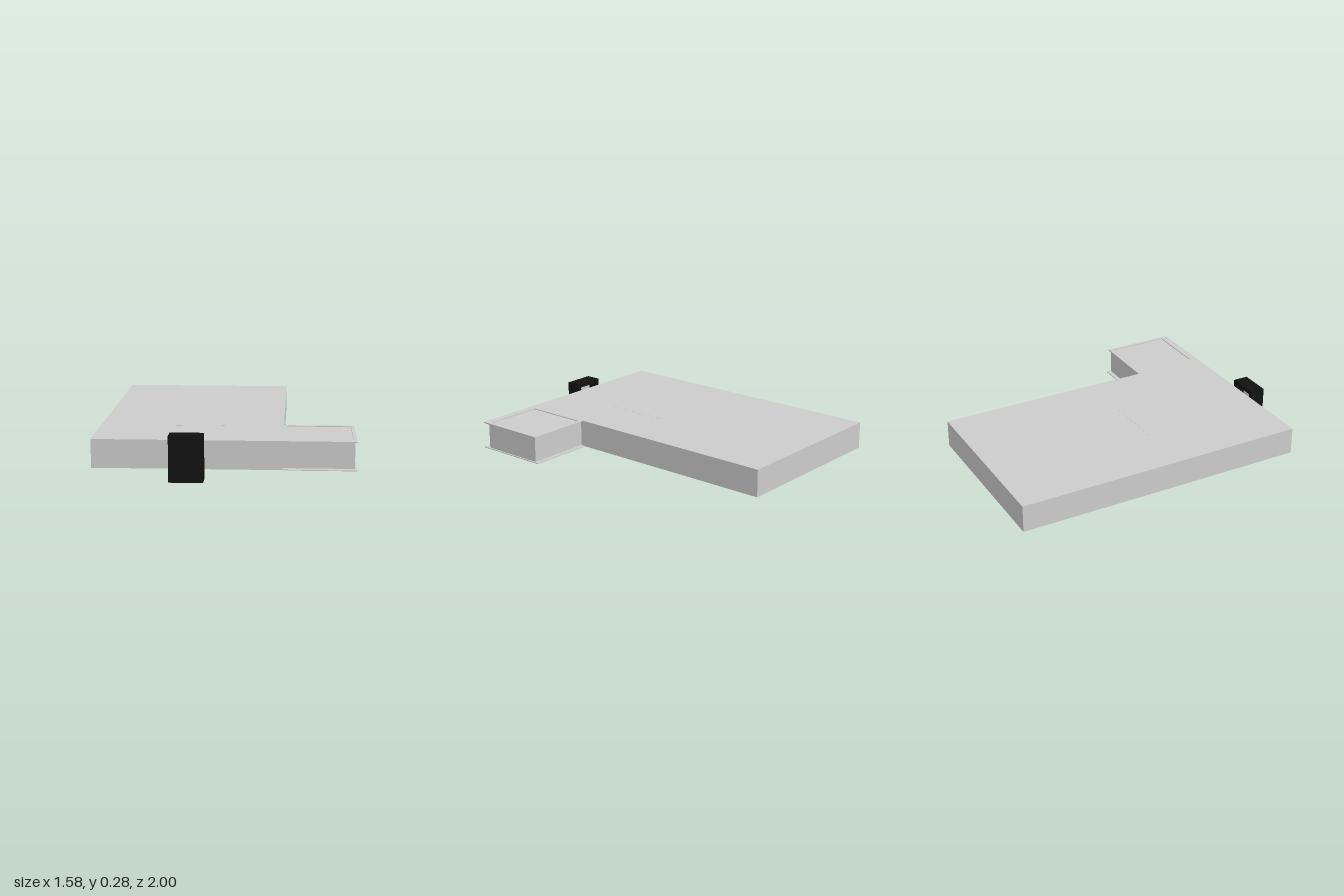
import * as THREE from 'three';

const grey = new THREE.MeshStandardMaterial({ color: 0xcccccc, flatShading: true });
const black = new THREE.MeshStandardMaterial({ color: 0x111111, flatShading: true });

export function createModel() {
  const model = new THREE.Group();

  const add = (name, geometry, material, parent = model) => {
    const mesh = new THREE.Mesh(geometry, material);
    mesh.name = name;
    parent.add(mesh);
    return mesh;
  };

  // Box given by its extents along each axis
  const block = (name, [x0, x1], [y0, y1], [z0, z1], material = grey, parent = model) => {
    const geometry = new THREE.BoxGeometry(x1 - x0, y1 - y0, z1 - z0);
    geometry.translate((x0 + x1) / 2, (y0 + y1) / 2, (z0 + z1) / 2);
    return add(name, geometry, material, parent);
  };

  // Rectangle with a rectangular hole, extruded along z
  const frame = ([x0, x1], [y0, y1], [hx0, hx1], [hy0, hy1], depth) => {
    const rect = (path, a, b, c, d) =>
      path.moveTo(a, c).lineTo(b, c).lineTo(b, d).lineTo(a, d).closePath();
    const shape = rect(new THREE.Shape(), x0, x1, y0, y1);
    shape.holes.push(rect(new THREE.Path(), hx0, hx1, hy0, hy1));
    return new THREE.ExtrudeGeometry(shape, { depth, bevelEnabled: false });
  };

  // Main slab with a square core just showing through it
  block('mainSlab', [-0.79, 0.35], [0.06, 0.235], [-1, 0.9]);
  block('squareCore', [-0.43, -0.01], [0.058, 0.2355], [0.05, 0.47]);

  // Side annex: box between an overhanging top frame and a bottom plate
  const annex = new THREE.Group();
  annex.name = 'sideAnnex';
  model.add(annex);
  block('annexBox', [0.35, 0.775], [0.06, 0.23], [0.435, 0.86], grey, annex);
  const topFrame = frame([0.35, 0.785], [-0.9, -0.42], [0.37, 0.765], [-0.85, -0.445], 0.007);
  topFrame.rotateX(-Math.PI / 2).translate(0, 0.228, 0);
  add('annexTopFrame', topFrame, grey, annex);
  block('annexBottomPlate', [0.35, 0.785], [0.058, 0.063], [0.405, 0.9], grey, annex);

  // Black housing on the front edge, hollow towards the slab
  const housing = new THREE.Group();
  housing.name = 'frontHousing';
  model.add(housing);
  const walls = frame([-0.32, -0.115], [0, 0.28], [-0.295, -0.14], [0.025, 0.255], 0.08);
  walls.translate(0, 0, 0.9);
  add('housingWalls', walls, black, housing);
  block('housingFace', [-0.32, -0.115], [0, 0.28], [0.98, 1], black, housing);
  block('housingInsert', [-0.295, -0.14], [0.025, 0.255], [0.965, 0.98], grey, housing);

  return model;
}
